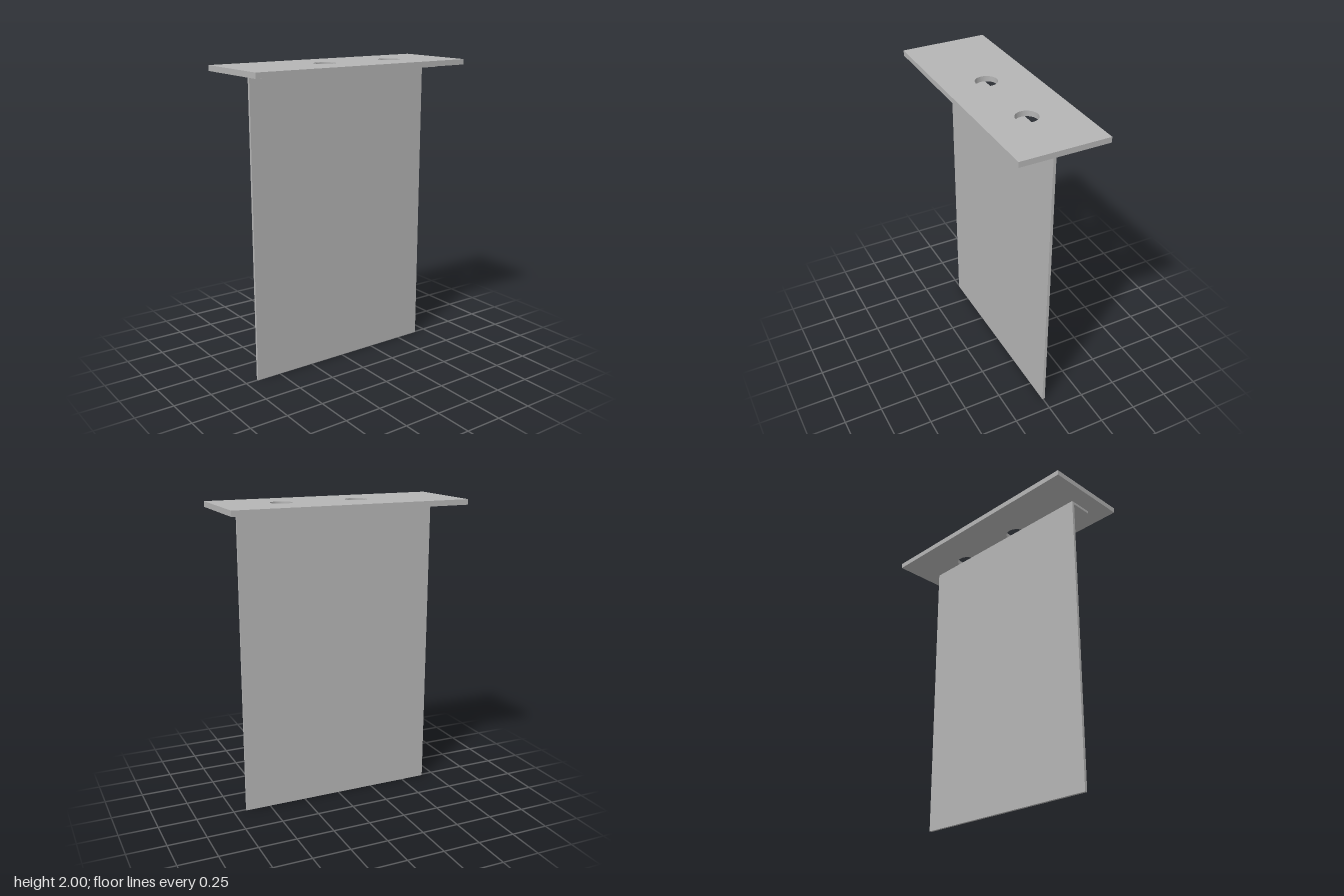
import * as THREE from 'three';

export function createModel() {
  const group = new THREE.Group();
  const grey = new THREE.MeshStandardMaterial({ color: 0xb4b4b4 });
  grey.name = 'plain grey';

  // Top plate: flat rectangle with two round holes, extruded upwards
  const W = 0.284, L = 0.78, bottom = 1.965;
  const plate = new THREE.Shape([
    new THREE.Vector2(-W, -L), new THREE.Vector2(W, -L),
    new THREE.Vector2(W, L), new THREE.Vector2(-W, L),
  ]);
  for (const z of [-0.372, 0.133]) {
    const hole = new THREE.Path();
    hole.absarc(0.01, -z, 0.07, 0, Math.PI * 2, true);
    plate.holes.push(hole);
  }
  const plateGeo = new THREE.ExtrudeGeometry(plate, {
    depth: 2 - bottom, bevelEnabled: false, curveSegments: 32,
  });
  plateGeo.rotateX(-Math.PI / 2).translate(0, bottom, 0);
  const topPlate = new THREE.Mesh(plateGeo, grey);
  topPlate.name = 'topPlate';
  group.add(topPlate);

  // Angle sheet: thin L profile, a tall web with a short flange under the plate
  const x0 = -0.013, x1 = 0.005, flangeEnd = 0.15, flangeY = 1.947, halfLen = 0.665;
  const profile = new THREE.Shape([
    [x0, 0], [x1, 0], [x1, flangeY], [flangeEnd, flangeY], [flangeEnd, bottom], [x0, bottom],
  ].map(([x, y]) => new THREE.Vector2(x, y)));
  const sheetGeo = new THREE.ExtrudeGeometry(profile, { depth: halfLen * 2, bevelEnabled: false });
  sheetGeo.translate(0, 0, -halfLen);
  const angleSheet = new THREE.Mesh(sheetGeo, grey);
  angleSheet.name = 'angleSheet';
  group.add(angleSheet);

  return group;
}
